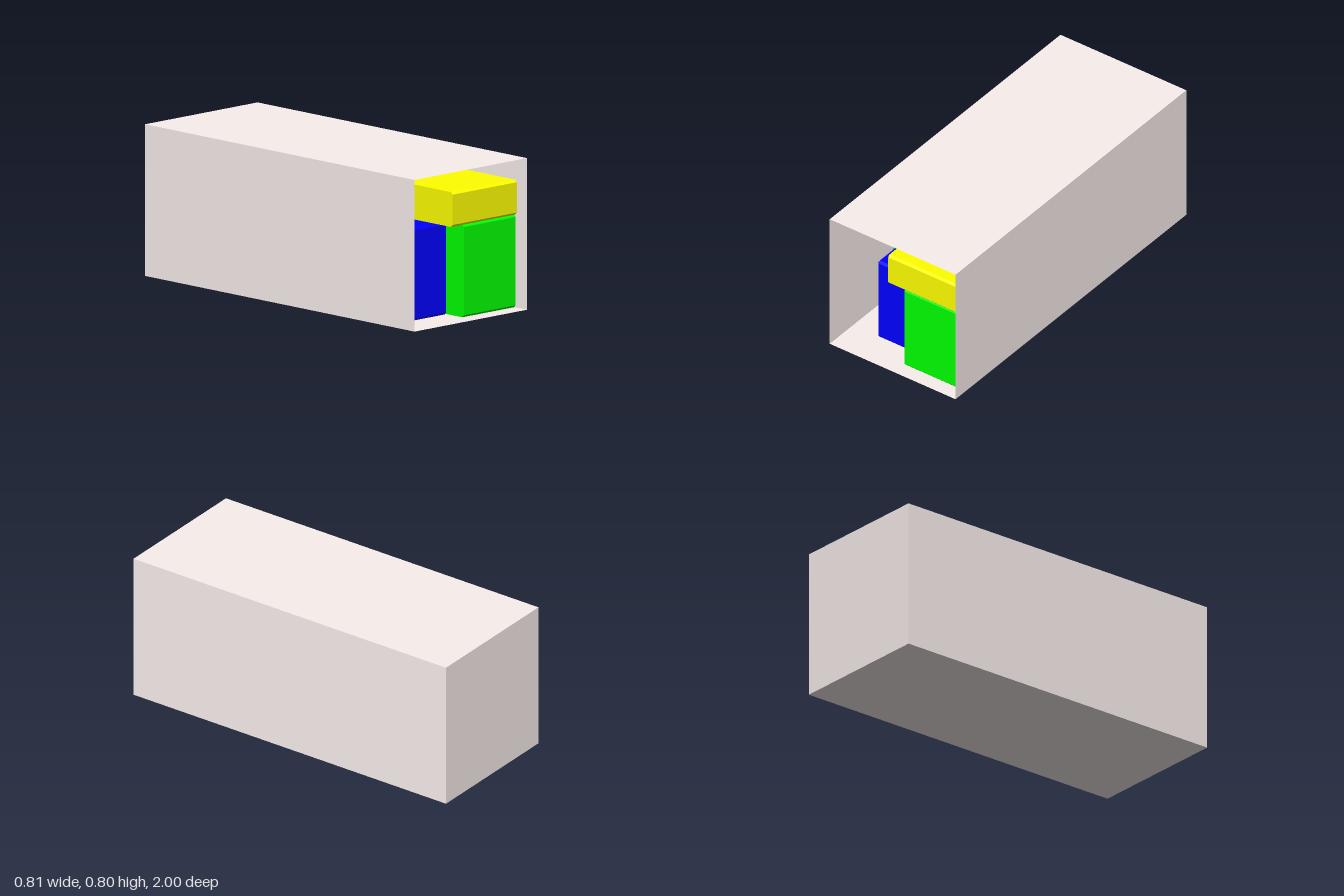
import * as THREE from 'three';

const W = 0.81, H = 0.8, L = 2;
const LIP = 0.008, BEVEL = 0.012;
const material = (color, side = THREE.FrontSide) =>
  new THREE.MeshStandardMaterial({ color, side, flatShading: true });
const colors = {
  green: material(0x00ff00, THREE.DoubleSide),
  blue: material(0x0000ff, THREE.DoubleSide),
  yellow: material(0xffff00, THREE.DoubleSide),
  red: material(0xff0000, THREE.DoubleSide),
};

// Crate with bevelled long edges, plus a slightly raised panel on each end
function crate(name, color, [x0, x1], [y0, y1], [z0, z1]) {
  const group = new THREE.Group();
  group.name = name;
  const w = x1 - x0, h = y1 - y0, d = z1 - z0, b = BEVEL;
  const profile = new THREE.Shape([
    [-d / 2 + b, -h / 2], [d / 2 - b, -h / 2], [d / 2, -h / 2 + b], [d / 2, h / 2 - b],
    [d / 2 - b, h / 2], [-d / 2 + b, h / 2], [-d / 2, h / 2 - b], [-d / 2, -h / 2 + b],
  ].map(([x, y]) => new THREE.Vector2(x, y)));
  const geometry = new THREE.ExtrudeGeometry(profile, { depth: w, bevelEnabled: false });
  geometry.translate(0, 0, -w / 2).rotateY(-Math.PI / 2);
  const body = new THREE.Mesh(geometry, colors[color]);
  body.name = 'crateBody';
  group.add(body);
  for (const side of [-1, 1]) {
    const panel = new THREE.Mesh(new THREE.PlaneGeometry(d - 2 * b, h - 2 * b), colors[color]);
    panel.name = 'crateEndPanel';
    panel.rotation.y = side * Math.PI / 2;
    panel.position.x = side * (w / 2 + LIP);
    group.add(panel);
  }
  group.position.set((x0 + x1) / 2, (y0 + y1) / 2, (z0 + z1) / 2);
  return group;
}

// Thin container shell, open at the front
function container() {
  const group = new THREE.Group();
  group.name = 'container';
  const shell = material(0xfaf0ee, THREE.DoubleSide);
  const wall = (name, w, h, position, rx, ry) => {
    const mesh = new THREE.Mesh(new THREE.PlaneGeometry(w, h), shell);
    mesh.name = name;
    mesh.position.set(...position);
    mesh.rotation.set(rx, ry, 0);
    group.add(mesh);
  };
  wall('floor', W, L, [0, 0, 0], Math.PI / 2, 0);
  wall('roof', W, L, [0, H, 0], -Math.PI / 2, 0);
  wall('leftWall', L, H, [W / 2, H / 2, 0], 0, Math.PI / 2);
  wall('rightWall', L, H, [-W / 2, H / 2, 0], 0, -Math.PI / 2);
  wall('backWall', W, H, [0, H / 2, -L / 2], 0, Math.PI);
  return group;
}

export function createModel() {
  const model = new THREE.Group();
  model.name = 'loadedContainer';
  model.add(container());

  // Crates: name, colour, x range, y range, z range
  const low = [0.002, 0.492], high = [0.494, 0.748];
  const load = [
    ['frontGreenCrate', 'green', [0.022, 0.395], low, [0.48, 0.926]],
    ['frontBlueCrate', 'blue', [-0.232, 0.008], low, [0.56, 0.81]],
    ['frontYellowCrate', 'yellow', [-0.073, 0.39], [0.494, 0.678], [0.47, 0.94]],
    ['middleGreenCrate', 'green', [-0.348, -0.01], low, [0.08, 0.53]],
    ['upperRightBlueCrate', 'blue', [-0.335, -0.094], high, [-0.05, 0.44]],
    ['upperLeftBlueCrate', 'blue', [-0.073, 0.39], high, [0.2, 0.44]],
    ['backLeftRedCrate', 'red', [0.03, 0.395], low, [0, 0.45]],
    ['backRightRedCrate', 'red', [-0.34, -0.01], low, [-0.4, 0.05]],
    ['lowRedCrate', 'red', [-0.375, -0.05], [0.013, 0.06], [-0.9, -0.45]],
  ];
  for (const item of load) model.add(crate(...item));
  return model;
}
